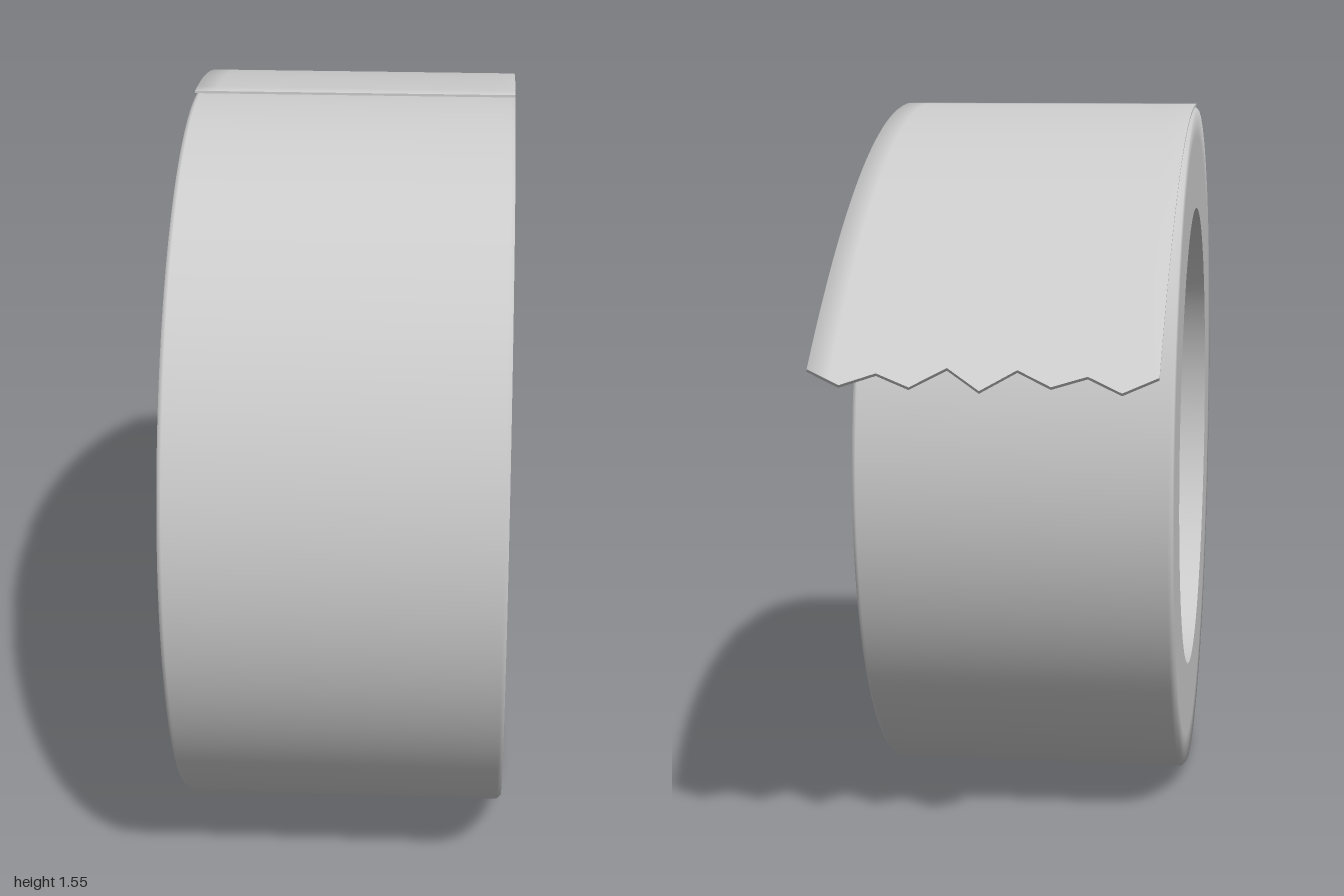
import * as THREE from 'three';

const HALF = 0.335, OUTER = 0.775, INNER = 0.5375, CENTER_Z = 0.225;
const TAIL_START = 0.222, TAIL_END = -0.945, THICK = 0.005;
// z of the torn edge at eleven even steps from right to left
const TEETH = [-0.968, -1, -0.968, -0.99, -0.957, -1, -0.955, -0.995, -0.968, -0.993, -0.962];

const lerp = THREE.MathUtils.lerp;

function toothZ(x) {
  const f = (x / HALF + 1) * 5;
  const i = Math.min(Math.floor(f), 9);
  return lerp(TEETH[i], TEETH[i + 1], f - i);
}

// Wound tape: both side faces, softened rims and the outer surface
function rollGeometry() {
  const lower = [[INNER, -HALF], [0.705, -HALF], [0.767, -HALF], [OUTER, -HALF + 0.009]];
  const upper = lower.map(([r, y]) => [r, -y]).reverse();
  const profile = [...lower, ...upper].map(([r, y]) => new THREE.Vector2(r, y));
  const geo = new THREE.LatheGeometry(profile, 128);
  const pos = geo.attributes.position, nor = geo.attributes.normal;
  const v = new THREE.Vector3();
  for (let i = 0; i < pos.count; i++) {
    v.fromBufferAttribute(pos, i);
    const r = Math.hypot(v.x, v.z), side = Math.sign(v.y);
    if (r > 0.77) v.set(v.x / r, 0, v.z / r);
    else if (r > 0.75) v.set(v.x / r, side, v.z / r).normalize(); // soft rim
    else v.set(0, side, 0);
    nor.setXYZ(i, v.x, v.y, v.z);
  }
  return geo.rotateZ(Math.PI / 2);
}

// Loose end: a thin slab bent along a parabola, with a zigzag end
function tailGeometry() {
  const cols = [-HALF, -HALF + 0.045];
  for (let i = 1; i < 10; i++) cols.push((i / 5 - 1) * HALF);
  cols.push(HALF - 0.045, HALF);
  const rows = [0, 0.035];
  for (let i = 1; i <= 24; i++) rows.push(lerp(0.035, 1, i / 24));
  rows.push(2); // torn edge
  const nc = cols.length - 1, nr = rows.length - 1;
  const geo = new THREE.BoxGeometry(2, 2, 2, nc, 1, nr);
  const pos = geo.attributes.position, nor = geo.attributes.normal;
  const n = new THREE.Vector3(), xAxis = new THREE.Vector3(1, 0, 0);
  for (let i = 0; i < pos.count; i++) {
    const c = Math.round((pos.getX(i) + 1) / 2 * nc);
    const r = Math.round((1 - pos.getZ(i)) / 2 * nr);
    const top = pos.getY(i) > 0;
    const x = cols[c];
    const z = r === nr ? toothZ(x) : lerp(TAIL_START, TAIL_END, rows[r]);
    const d = TAIL_START - z;
    const y = 2 * OUTER - 0.336 * d * d + (top ? THICK : 0);
    pos.setXYZ(i, x, y, z);
    // soft edges along the sides and the start
    n.fromBufferAttribute(nor, i);
    if (Math.abs(n.y) > 0.5) {
      if (c === 0) n.x = -0.7;
      if (c === nc) n.x = 0.7;
      if (r === 0) n.z = 1;
    }
    n.normalize().applyAxisAngle(xAxis, -Math.atan(0.672 * d));
    nor.setXYZ(i, n.x, n.y, n.z);
  }
  return geo;
}

export function createModel() {
  const group = new THREE.Group();
  group.name = 'tapeRoll';
  const grey = new THREE.MeshStandardMaterial({ color: 0xcccccc });
  grey.name = 'light grey';

  const add = (name, geo, y = 0, z = 0) => {
    const mesh = new THREE.Mesh(geo, grey);
    mesh.name = name;
    mesh.position.set(0, y, z);
    group.add(mesh);
  };

  add('woundTape', rollGeometry(), OUTER, CENTER_Z);

  // Inner wall, profile run downward so it faces the axis
  const bore = [new THREE.Vector2(INNER, HALF), new THREE.Vector2(INNER, -HALF)];
  add('innerCore', new THREE.LatheGeometry(bore, 128).rotateZ(Math.PI / 2), OUTER, CENTER_Z);

  add('looseEnd', tailGeometry());
  return group;
}
